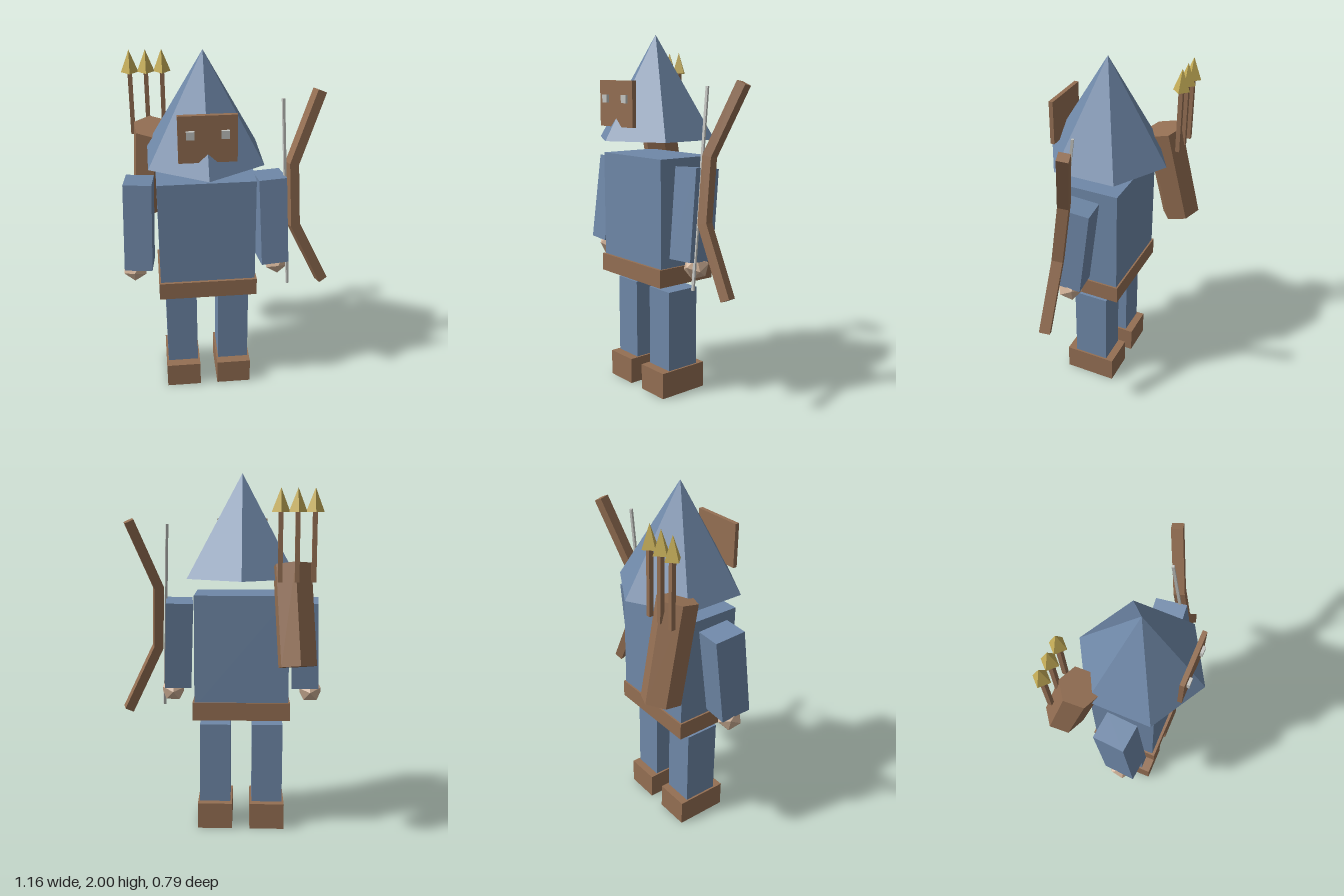
import * as THREE from 'three';

const material = (name, color) => {
  const m = new THREE.MeshStandardMaterial({ color, flatShading: true });
  m.name = name;
  return m;
};

export function createModel() {
  const blue = material('blue cloth', 0x6f88a8);
  const brown = material('brown leather', 0x946f53);
  const skin = material('skin', 0xd0b197);
  const gold = material('gold', 0xc6ae58);
  const pale = material('pale grey', 0xc4c5c1);

  const model = new THREE.Group();
  model.name = 'archer';
  const CX = -0.117, CZ = 0.047; // axis of the body

  const add = (name, geometry, mat, pos, rot = [0, 0, 0], parent = model) => {
    const mesh = new THREE.Mesh(geometry, mat);
    mesh.name = name;
    mesh.position.set(...pos);
    mesh.rotation.set(...rot);
    parent.add(mesh);
    return mesh;
  };
  const box = (w, h, d) => new THREE.BoxGeometry(w, h, d);

  // Torso and belt
  add('torso', box(0.52, 0.62, 0.35), blue, [CX, 1.036, CZ]);
  add('belt', box(0.54, 0.1, 0.375), brown, [CX, 0.702, CZ + 0.003]);

  // Hooded hat, with the mask and eyes in front
  add('hat', new THREE.ConeGeometry(0.344, 0.564, 6), blue, [CX, 1.718, CZ]);
  add('mask', box(0.294, 0.246, 0.024), brown, [CX, 1.632, 0.307]);

  // Paired parts: s = 1 is the left side
  for (const s of [1, -1]) {
    const side = s > 0 ? 'left' : 'right';
    add(side + 'Eye', box(0.041, 0.042, 0.016), pale, [CX + s * 0.086, 1.658, 0.326]);
    add(side + 'Leg', box(0.174, 0.46, 0.2), blue, [CX + s * 0.148, 0.374, CZ]);
    add(side + 'Boot', box(0.196, 0.148, 0.298), brown, [CX + s * 0.148, 0.074, 0.051]);
    add(side + 'Arm', box(0.152, 0.495, 0.175), blue,
      [CX + s * 0.362, 1.055, 0.077], [-0.115, s * 0.09, s * 0.035]);
    add(side + 'Hand', new THREE.IcosahedronGeometry(0.072, 0), skin,
      [CX + s * 0.397, 0.778, 0.092], [0.5, s * 0.09, 0]);
  }

  // Bow: a straight grip with two limbs bent forward, mirrored in y
  const bow = new THREE.Group();
  bow.name = 'bow';
  bow.position.set(0.362, 1.198, 0.09);
  bow.rotation.set(-0.13, 0.27, 0.038);
  model.add(bow);
  const h = 0.0265;
  const outer = [[0.17 + h * 0.91, 0.55 - h * 0.42], [h, 0.175 - h * 0.23]];
  const inner = [[-h, 0.175 + h * 0.23], [0.17 - h * 0.91, 0.55 + h * 0.42]];
  const flip = (list) => list.map(([x, y]) => [x, -y]).reverse();
  const outline = [...inner, ...outer, ...flip(outer), ...flip(inner)];
  const stave = new THREE.ExtrudeGeometry(
    new THREE.Shape(outline.map(([x, y]) => new THREE.Vector2(x, y))),
    { depth: 0.06, bevelEnabled: false });
  stave.translate(0, 0, -0.03);
  add('bowStave', stave, brown, [0, 0, 0], [0, 0, 0], bow);
  add('bowString', box(0.014, 1.065, 0.014), pale, [-0.044, 0, 0], [0, 0, 0], bow);

  // Quiver leaning on the back
  const quiver = new THREE.CylinderGeometry(0.108, 0.108, 0.54, 6);
  quiver.rotateY(0.1);
  add('quiver', quiver, brown, [-0.398, 1.253, -0.231], [0.228, 0, -0.055]);

  // Three arrows
  for (let i = -1; i <= 1; i++) {
    const x = -0.402 + i * 0.087;
    add('arrowShaft', box(0.024, 0.36, 0.024), brown, [x, 1.614, -0.285]);
    add('arrowHead', new THREE.ConeGeometry(0.047, 0.122, 4), gold, [x, 1.852, -0.285]);
  }
  return model;
}
